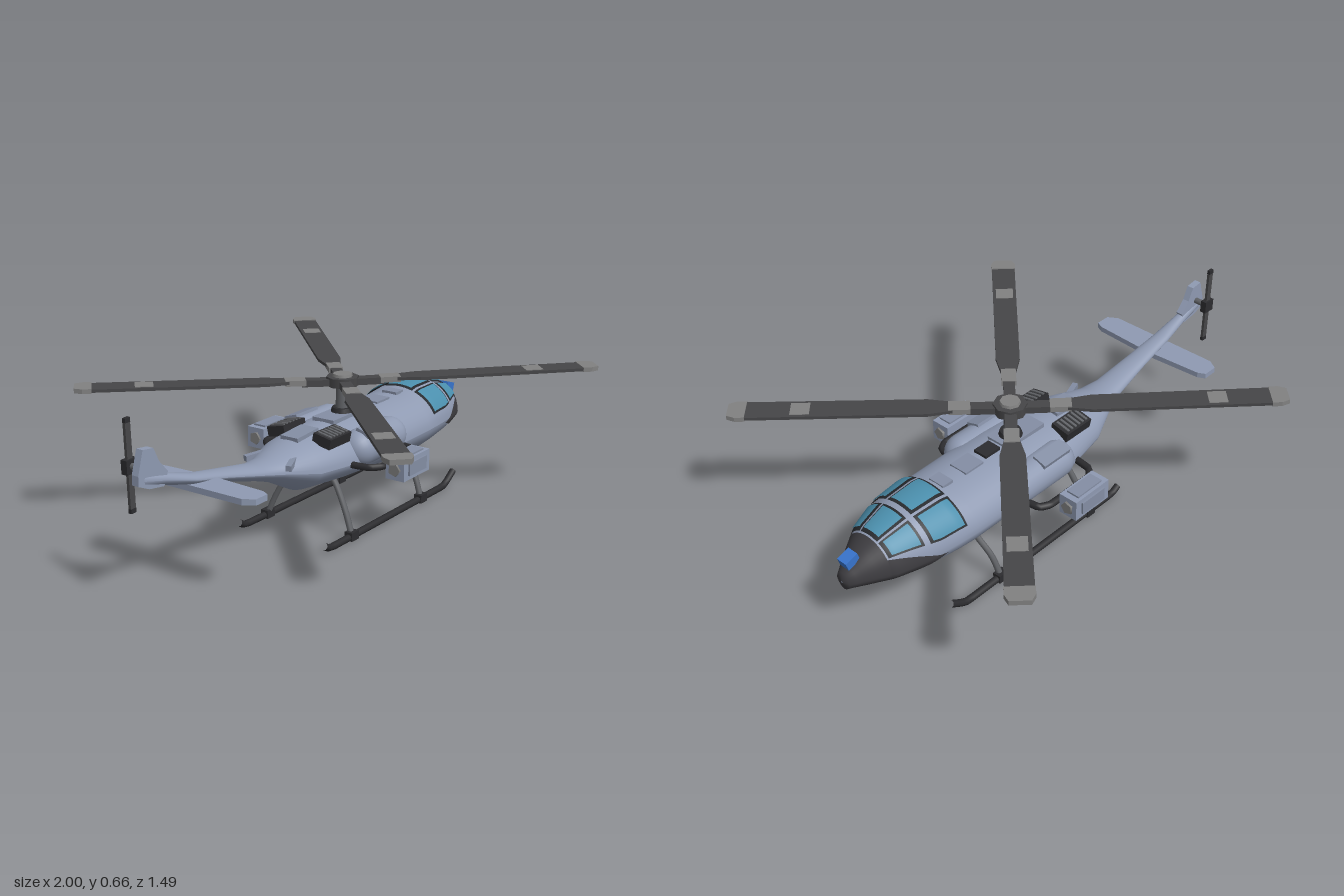
import * as THREE from 'three';

const mat = (name, color, side = THREE.FrontSide) => {
  const m = new THREE.MeshStandardMaterial({ color, side });
  m.name = name;
  return m;
};

// Hull stations: x, top, bottom, half width, height of the widest line
const STATIONS = [
  [-0.985, 0.46, 0.46, 0, 0.46], [-0.97, 0.485, 0.435, 0.016, 0.46], [-0.875, 0.46, 0.417, 0.022, 0.438],
  [-0.74, 0.42, 0.38, 0.034, 0.4], [-0.58, 0.39, 0.343, 0.045, 0.367], [-0.4, 0.358, 0.292, 0.062, 0.325],
  [-0.32, 0.355, 0.265, 0.085, 0.31], [-0.18, 0.39, 0.193, 0.145, 0.285], [0, 0.405, 0.18, 0.178, 0.28],
  [0.2, 0.41, 0.168, 0.19, 0.28], [0.52, 0.41, 0.143, 0.184, 0.28], [0.6, 0.425, 0.15, 0.178, 0.28],
  [0.72, 0.422, 0.17, 0.163, 0.278], [0.85, 0.387, 0.195, 0.12, 0.268], [0.93, 0.338, 0.21, 0.07, 0.264],
  [0.993, 0.29, 0.226, 0.028, 0.258], [1, 0.258, 0.258, 0, 0.258],
];

// Point on the hull at x and angle a (0 = left side, PI/2 = top), pushed out by off
function hullPoint(x, a, off = 0) {
  let i = 1;
  while (i < STATIONS.length - 1 && x > STATIONS[i][0]) i++;
  const [p, q] = [STATIONS[i - 1], STATIONS[i]];
  const t = THREE.MathUtils.clamp((x - p[0]) / (q[0] - p[0]), 0, 1);
  const [, top, bot, w, mid] = p.map((v, k) => v + (q[k] - v) * t);
  const c = Math.cos(a), s = Math.sin(a), up = s >= 0;
  const e = up ? 1 : 1.25;
  const z = Math.sign(c) * Math.abs(c) ** e * (w + off);
  const y = mid + Math.sign(s) * Math.abs(s) ** e * ((up ? top - mid : mid - bot) + off);
  return [x, y, z];
}

// Patch of hull skin between two angles that may vary with x
function hullPatch(xs, lo, hi, off, n) {
  const pos = [], idx = [], row = n + 1;
  xs.forEach((x) => {
    for (let j = 0; j <= n; j++) pos.push(...hullPoint(x, lo(x) + (hi(x) - lo(x)) * j / n, off));
  });
  for (let i = 0; i < xs.length - 1; i++) for (let j = 0; j < n; j++) {
    const a = i * row + j, b = a + row;
    idx.push(a, b, a + 1, b, b + 1, a + 1);
  }
  const g = new THREE.BufferGeometry();
  g.setAttribute('position', new THREE.Float32BufferAttribute(pos, 3));
  g.setIndex(idx);
  g.computeVertexNormals();
  return g;
}

const span = (a, b, n = 12) => Array.from({ length: n + 1 }, (_, i) => a + (b - a) * i / n);
const V = (x, y, z) => new THREE.Vector3(x, y, z);

function outline(points, depth) {
  const g = new THREE.ExtrudeGeometry(new THREE.Shape(points.map((p) => new THREE.Vector2(...p))), { depth, bevelEnabled: false });
  return g.translate(0, 0, -depth / 2);
}

function tube(points, r, bend = 0.1) {
  return new THREE.TubeGeometry(new THREE.CatmullRomCurve3(points.map((p) => V(...p)), false, 'catmullrom', bend), 32, r, 8);
}

export function createModel() {
  const paint = mat('hullPaint', 0x8f9ab2);
  const panel = mat('panelPaint', 0x848ea4);
  const dark = mat('darkTrim', 0x2c2c2f);
  const nose = mat('nosePaint', 0x3d3c40, THREE.DoubleSide);
  const frame = mat('canopyFrame', 0x26292d, THREE.DoubleSide);
  const glass = mat('canopyGlass', 0x4b8fad, THREE.DoubleSide);
  const blade = mat('bladeGrey', 0x464648);
  const light = mat('lightGrey', 0x818181);
  const metal = mat('gearMetal', 0x606266);
  const blue = mat('sensorBlue', 0x3874cc);

  const root = new THREE.Group();
  root.name = 'helicopter';
  const add = (name, geo, m, x = 0, y = 0, z = 0, parent = root) => {
    const mesh = new THREE.Mesh(geo, m);
    mesh.name = name;
    mesh.position.set(x, y, z);
    parent.add(mesh);
    return mesh;
  };
  const box = (name, w, h, d, m, x, y, z, parent) => add(name, new THREE.BoxGeometry(w, h, d), m, x, y, z, parent);

  // Hull and tail boom
  add('hull', hullPatch(STATIONS.map((s) => s[0]), () => 0, () => Math.PI * 2, 0, 40), paint);

  // Dark nose with swept-back cheeks
  const low = (x) => x < 0.87 ? -0.1 - (x - 0.66) * 3.6 : -0.856 - Math.min(1, (x - 0.87) / 0.1) * 0.714;
  const high = (x) => -0.1 + (x - 0.66) * 3.2;
  const cheek = span(0.66, 0.87);
  add('cheekLeft', hullPatch(cheek, low, high, 0.004, 8), nose);
  add('cheekRight', hullPatch(cheek, (x) => Math.PI - high(x), (x) => Math.PI - low(x), 0.004, 8), nose);
  add('noseCone', hullPatch([0.87, 0.89, 0.91, 0.93, 0.95, 0.97, 0.993, 1], low, (x) => Math.PI - low(x), 0.004, 32), nose);
  box('noseSensor', 0.055, 0.036, 0.044, blue, 0.96, 0.337, 0).rotation.z = -0.3;

  // Canopy: two rows of three panes, each with a dark surround
  const sill = (x) => 0.37 + Math.max(0, x - 0.68) * 1.3;
  const columns = [
    [sill, () => 1.15], [() => 1.21, () => Math.PI - 1.21], [() => Math.PI - 1.15, (x) => Math.PI - sill(x)],
  ];
  for (const [x0, x1] of [[0.565, 0.722], [0.742, 0.865]]) for (const [lo, hi] of columns) {
    add('paneFrame', hullPatch(span(x0, x1), lo, hi, 0.006, 10), frame);
    add('pane', hullPatch(span(x0 + 0.011, x1 - 0.011), (x) => lo(x) + 0.06, (x) => hi(x) - 0.06, 0.01, 10), glass);
  }

  // Roof panels and vents
  box('rearRoofPanel', 0.13, 0.016, 0.08, panel, -0.12, 0.398, 0).rotation.z = 0.07;
  box('mastFairing', 0.2, 0.02, 0.1, panel, 0.13, 0.408, 0);
  box('frontVent', 0.075, 0.02, 0.06, dark, 0.285, 0.41, 0);
  box('frontRoofPanel', 0.09, 0.014, 0.08, panel, 0.39, 0.408, 0);
  box('canopyHatch', 0.05, 0.014, 0.07, panel, 0.52, 0.412, 0);

  for (const s of [1, -1]) {
    // Engine fairing
    const engine = add('engineFairing', new THREE.CapsuleGeometry(0.072, 0.2, 10, 24), paint, 0.17, 0.32, s * 0.142);
    engine.rotation.z = Math.PI / 2;
    box('enginePanel', 0.14, 0.02, 0.06, panel, 0.12, 0.385, s * 0.168).rotation.x = s * 0.3;

    // Slatted roof vent
    const vent = new THREE.Group();
    vent.name = 'roofVent';
    vent.position.set(-0.06, 0.388, s * 0.105);
    vent.rotation.x = s * 0.2;
    root.add(vent);
    box('ventBox', 0.135, 0.04, 0.08, dark, 0, 0, 0, vent);
    for (let i = 0; i < 6; i++) box('ventSlat', 0.01, 0.008, 0.062, metal, -0.05 + i * 0.02, 0.021, 0, vent);

    // Boom root scoop
    const scoop = box('boomScoop', 0.09, 0.022, 0.022, panel, -0.28, 0.34, s * 0.082);
    scoop.rotation.set(0, s * 0.4, 0.1);

    // Side pod on a bent carrier tube
    add('podCarrier', tube([[-0.02, 0.28, s * 0.16], [-0.01, 0.28, s * 0.24], [0.03, 0.28, s * 0.272],
      [0.24, 0.28, s * 0.272], [0.28, 0.28, s * 0.25], [0.295, 0.28, s * 0.15]], 0.014), dark);
    box('pod', 0.18, 0.084, 0.08, paint, 0.12, 0.279, s * 0.328);
    box('podLid', 0.13, 0.008, 0.055, panel, 0.12, 0.324, s * 0.328);
    box('podSide', 0.12, 0.05, 0.008, panel, 0.12, 0.279, s * 0.371);
    for (const x of [0.028, 0.212]) {
      add('podCap', new THREE.CylinderGeometry(0.026, 0.026, 0.014, 5), light, x, 0.279, s * 0.328).rotation.z = Math.PI / 2;
    }

    // Landing skid and its struts
    add('skid', tube([[-0.24, 0.032, s * 0.2], [-0.2, 0.014, s * 0.2], [0.2, 0.014, s * 0.2], [0.6, 0.014, s * 0.2],
      [0.63, 0.022, s * 0.2], [0.69, 0.06, s * 0.2]], 0.014), dark);
    for (const [x, top] of [[-0.04, 0.21], [0.455, 0.18]]) {
      add('skidStrut', tube([[x + 0.005, top + 0.02, s * 0.08], [x, top - 0.02, s * 0.115],
        [x - 0.012, 0.1, s * 0.165], [x - 0.022, 0.015, s * 0.2]], 0.012, 0.5), metal);
      box('strutClamp', 0.045, 0.034, 0.034, dark, x - 0.022, 0.018, s * 0.2);
    }
  }

  // Tail fin and stabiliser
  add('tailFin', outline([[-1, 0.45], [-0.95, 0.428], [-0.88, 0.418], [-0.86, 0.465], [-0.9, 0.51],
    [-0.925, 0.562], [-0.975, 0.568], [-1, 0.485]], 0.028), paint);
  const stab = add('stabiliser', outline([[-0.76, -0.24], [-0.735, -0.28], [-0.675, -0.28], [-0.66, -0.25], [-0.645, 0],
    [-0.66, 0.25], [-0.675, 0.28], [-0.735, 0.28], [-0.76, 0.24]], 0.022), paint, 0, 0.375, 0);
  stab.rotation.x = Math.PI / 2;

  // Tail rotor on the right side
  const tail = new THREE.Group();
  tail.name = 'tailRotor';
  tail.position.set(-0.952, 0.492, -0.07);
  tail.rotation.z = 0.03;
  root.add(tail);
  add('tailShaft', new THREE.CylinderGeometry(0.012, 0.012, 0.075, 10), metal, 0, 0, 0.03, tail).rotation.x = Math.PI / 2;
  box('tailHub', 0.05, 0.05, 0.026, dark, 0, 0, 0, tail);
  for (const s of [1, -1]) {
    box('tailBlade', 0.024, 0.13, 0.011, blade, 0, s * 0.085, 0, tail);
    box('tailBladeTip', 0.024, 0.016, 0.013, dark, 0, s * 0.157, 0, tail);
  }

  // Mast and rotor hub
  add('mast', new THREE.CylinderGeometry(0.024, 0.028, 0.15, 16), metal, 0.16, 0.465, 0);
  add('mastCollar', new THREE.CylinderGeometry(0.04, 0.05, 0.03, 16), dark, 0.16, 0.42, 0);
  const rotor = new THREE.Group();
  rotor.name = 'mainRotor';
  rotor.position.set(0.16, 0.54, 0);
  root.add(rotor);
  add('hub', new THREE.CylinderGeometry(0.064, 0.064, 0.036, 8), blade, 0, 0, 0, rotor);
  add('hubCap', new THREE.CylinderGeometry(0.038, 0.042, 0.018, 8), light, 0, 0.02, 0, rotor);

  // Four main blades
  const bladeShape = outline([[0.2, -0.026], [0.3, -0.046], [0.96, -0.048], [0.96, 0.048], [0.3, 0.046], [0.2, 0.026]], 0.012);
  const tipShape = outline([[0.955, -0.05], [0.99, -0.05], [1.02, -0.036], [1.02, 0.036], [0.99, 0.05], [0.955, 0.05]], 0.018);
  for (let i = 0; i < 4; i++) {
    const arm = new THREE.Group();
    arm.name = 'mainBlade';
    arm.rotation.set(0, Math.PI / 4 + i * Math.PI / 2, 0.012);
    rotor.add(arm);
    box('bladeArm', 0.12, 0.026, 0.044, blade, 0.1, -0.004, 0, arm);
    box('bladeCuff', 0.08, 0.022, 0.056, light, 0.185, 0, 0, arm);
    add('bladePanel', bladeShape, blade, 0, 0.002, 0, arm).rotation.x = Math.PI / 2;
    box('bladeBand', 0.07, 0.016, 0.07, light, 0.76, 0.002, 0, arm);
    add('bladeTip', tipShape, light, 0, 0.002, 0, arm).rotation.x = Math.PI / 2;
  }
  return root;
}
